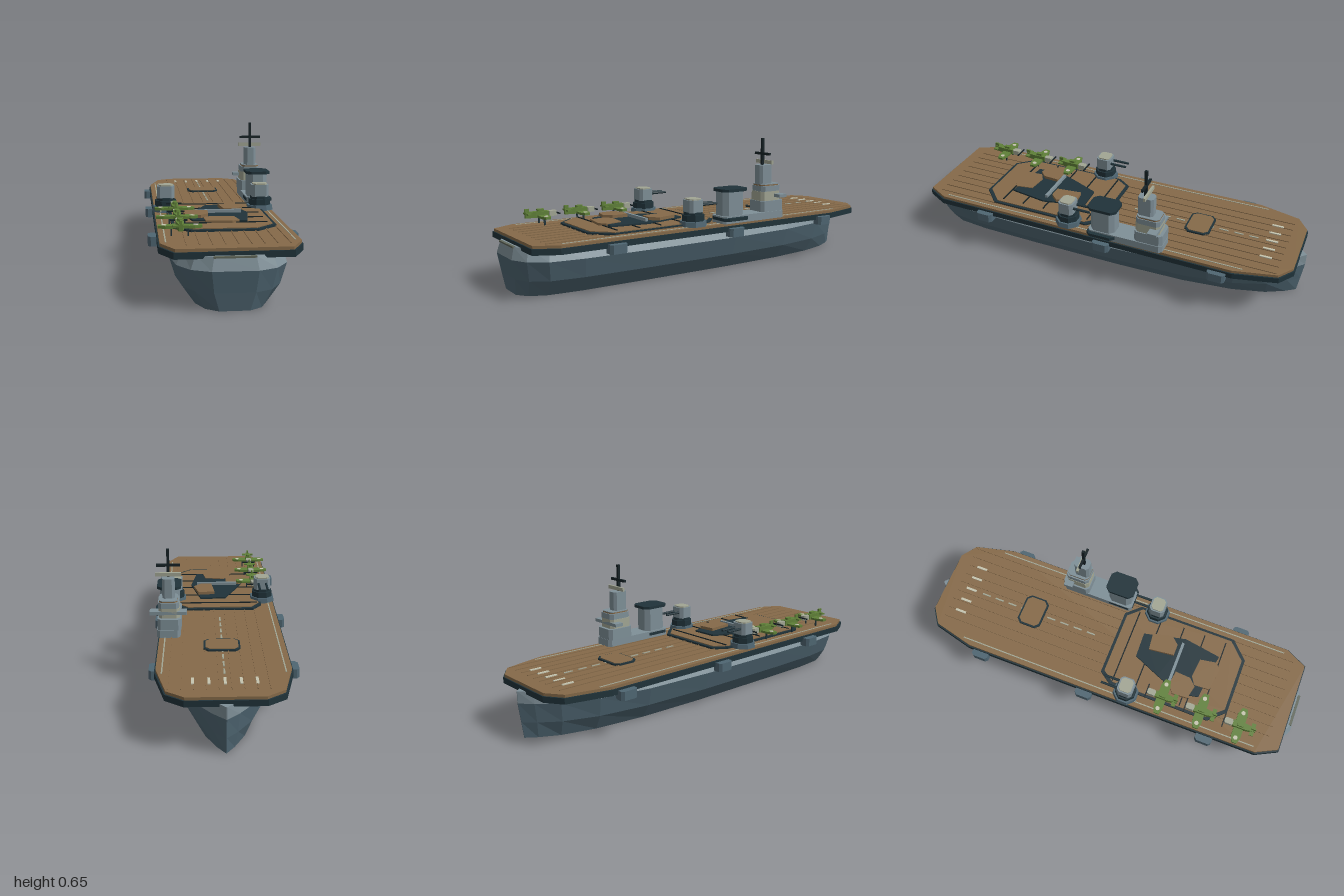
import * as THREE from 'three';

const mat = (name, color, extra = {}) => {
  const m = new THREE.MeshStandardMaterial({ color, flatShading: true, ...extra });
  m.name = name;
  return m;
};

export function createModel() {
  const hullBlue = mat('hull blue grey', 0x4f6672, { side: THREE.DoubleSide });
  const towerGrey = mat('tower grey', 0x7f9098, { side: THREE.DoubleSide });
  const dark = mat('dark steel', 0x20333a);
  const black = mat('mast black', 0x162226);
  const wood = mat('deck wood', 0x866a49);
  const pale = mat('pale paint', 0xa2a694);
  const cream = mat('marking cream', 0xc6c5b0);
  const olive = mat('inner olive grey', 0x61675a);
  const green = mat('aircraft green', 0x5f8038);
  const model = new THREE.Group();
  model.name = 'carrier';

  const add = (parent, name, geo, material, x = 0, y = 0, z = 0) => {
    const m = new THREE.Mesh(geo, material);
    m.name = name;
    m.position.set(x, y, z);
    parent.add(m);
    return m;
  };
  // Box given by its x, y and z ranges
  const box = (parent, name, material, x0, x1, y0, y1, z0, z1) =>
    add(parent, name, new THREE.BoxGeometry(x1 - x0, y1 - y0, z1 - z0), material,
      (x0 + x1) / 2, (y0 + y1) / 2, (z0 + z1) / 2);
  // Upright prism over a plan outline of [x, z] points
  const prism = (parent, name, material, pts, y0, y1) => {
    const shape = new THREE.Shape(pts.map(([x, z]) => new THREE.Vector2(x, -z)));
    const geo = new THREE.ExtrudeGeometry(shape, { depth: y1 - y0, bevelEnabled: false });
    geo.rotateX(-Math.PI / 2);
    return add(parent, name, geo, material, 0, y0, 0);
  };
  // Outline of a rectangle with cut corners
  const cut = (x0, x1, z0, z1, c) => [
    [x0 + c, z0], [x1 - c, z0], [x1, z0 + c], [x1, z1 - c],
    [x1 - c, z1], [x0 + c, z1], [x0, z1 - c], [x0, z0 + c]];
  const block = (parent, name, material, x0, x1, y0, y1, z0, z1, c = 0.015) =>
    prism(parent, name, material, cut(x0, x1, z0, z1, c), y0, y1);

  // Hull: plan stations [z, half width] scaled at each level, open below
  const stations = [[-1, 0.002], [-0.95, 0.055], [-0.86, 0.125], [-0.7, 0.19], [-0.45, 0.235],
    [-0.1, 0.252], [0.4, 0.252], [0.72, 0.245], [0.88, 0.222], [0.96, 0.17], [0.998, 0.092]];
  const levels = [[0, 0.66, 0.975], [0.075, 0.89, 0.985], [0.165, 1, 1], [0.22, 0.89, 0.985]];
  const ring = ([y, sw, sz]) => {
    const side = (s) => stations.map(([z, w]) =>
      [s * w * sw - 0.004, y, z < 0 && y > 0.1 ? z * 0.997 : z * sz]);
    return [...side(1), ...side(-1).reverse()];
  };
  const rings = levels.map(ring);
  const strake = (name, material, lower, upper) => {
    const pos = [];
    for (let l = lower; l < upper; l++) {
      const n = rings[l].length;
      for (let i = 0; i < n; i++) {
        const j = (i + 1) % n;
        const [a, b, c, d] = [rings[l][i], rings[l + 1][i], rings[l + 1][j], rings[l][j]];
        pos.push(...a, ...b, ...c, ...a, ...c, ...d);
      }
    }
    const geo = new THREE.BufferGeometry();
    geo.setAttribute('position', new THREE.Float32BufferAttribute(pos, 3));
    geo.computeVertexNormals();
    add(model, name, geo, material);
  };
  strake('lowerHull', hullBlue, 0, 2);
  strake('upperHullBand', towerGrey, 2, 3);
  const hullTop = rings[3].map(([x, , z]) => [x, z]);
  prism(model, 'hullCap', towerGrey, hullTop, 0.217, 0.22);
  prism(model, 'hullCeiling', olive, hullTop.map(([x, z]) => [x * 0.99, z * 0.994]), 0.2, 0.206);
  box(model, 'sternStrip', olive, -0.088, 0.08, 0.214, 0.221, 0.975, 0.988);

  // Flight deck
  const deck = [[-0.17, -0.97], [0.165, -0.97], [0.243, -0.915], [0.294, -0.71], [0.29, 0.857],
    [0.235, 0.965], [-0.24, 0.965], [-0.296, 0.857], [-0.3, -0.71], [-0.25, -0.915]];
  prism(model, 'deckEdge', dark, deck, 0.208, 0.235);
  prism(model, 'deckPlanking', wood, deck.map(([x, z]) => [x * 0.978, z * 0.994]), 0.235, 0.248);
  for (let i = -4; i <= 4; i++) {
    const x = i * 0.052 + 0.022;
    box(model, 'plankSeam', wood, x - 0.002, x + 0.002, 0.248, 0.2515, -0.9, 0.9);
  }
  // Deck markings
  for (const x of [-0.137, -0.071, -0.004, 0.063, 0.129])
    box(model, 'bowMark', cream, x - 0.006, x + 0.006, 0.248, 0.2525, -0.855, -0.798);
  for (let z = -0.76; z < -0.14; z += 0.075)
    box(model, 'centreDash', pale, -0.008, 0, 0.248, 0.251, z, z + 0.045);
  for (const x of [-0.265, 0.26])
    box(model, 'sideLine', pale, x - 0.003, x + 0.003, 0.248, 0.25, -0.75, 0.84);

  // Forward lift
  block(model, 'liftFrame', dark, -0.086, 0.081, 0.248, 0.256, -0.53, -0.403, 0.022);
  block(model, 'liftTop', wood, -0.077, 0.072, 0.256, 0.259, -0.521, -0.412, 0.019);

  // Raised aft platform
  const pad = [[-0.18, -0.01], [0.165, -0.01], [0.232, 0.06], [0.232, 0.575],
    [0.143, 0.662], [-0.15, 0.662], [-0.226, 0.58], [-0.226, 0.055]];
  prism(model, 'platformFrame', dark, pad, 0.248, 0.257);
  prism(model, 'platformTop', wood, pad.map(([x, z]) => [x * 0.94, 0.326 + (z - 0.326) * 0.955]), 0.257, 0.261);
  for (const z of [0.063, 0.185, 0.31, 0.425, 0.54])
    box(model, 'platformCable', black, -0.205, 0.198, 0.261, 0.265, z - 0.003, z + 0.003);

  // Irregular plates amidships of the platform
  prism(model, 'darkPlate', dark, [[-0.04, 0.13], [0.09, 0.125], [0.14, 0.34], [0.11, 0.53],
    [-0.13, 0.5], [-0.15, 0.4], [-0.1, 0.27]], 0.261, 0.269);
  prism(model, 'woodPlate', wood, [[0.015, 0.18], [0.1, 0.17], [0.125, 0.27], [0.09, 0.31], [0.03, 0.31]], 0.269, 0.284);
  prism(model, 'woodPlate', wood, [[-0.165, 0.37], [-0.12, 0.34], [-0.05, 0.35], [-0.055, 0.43], [-0.09, 0.465], [-0.16, 0.45]], 0.269, 0.284);
  prism(model, 'woodPlate', wood, [[-0.08, 0.46], [-0.04, 0.435], [0.06, 0.445], [0.075, 0.53], [0.04, 0.555], [-0.075, 0.54]], 0.262, 0.273);
  box(model, 'crossBar', towerGrey, -0.11, 0.11, 0.269, 0.284, 0.328, 0.342);

  // Side sponsons
  for (const [x0, x1] of [[-0.332, -0.274], [0.262, 0.32]]) for (const z of [-0.638, -0.057, 0.595])
    block(model, 'sponson', hullBlue, x0, x1, 0.184, 0.226, z - 0.043, z + 0.043, 0.012);

  // Twin gun turrets, trained forward
  for (const x of [-0.236, 0.228]) {
    const turret = new THREE.Group();
    turret.name = 'turret';
    turret.position.set(x, 0, 0.148);
    model.add(turret);
    const drum = (name, r0, r1, y0, y1, m) => {
      const g = new THREE.CylinderGeometry(r1, r0, y1 - y0, 8);
      g.rotateY(Math.PI / 8);
      add(turret, name, g, m, 0, (y0 + y1) / 2, 0);
    };
    drum('turretBase', 0.068, 0.064, 0.248, 0.273, hullBlue);
    drum('turretRing', 0.055, 0.055, 0.273, 0.302, dark);
    drum('turretCollar', 0.047, 0.047, 0.302, 0.316, dark);
    box(turret, 'baseLight', pale, -0.03, -0.024, 0.253, 0.259, 0.06, 0.065);
    block(turret, 'gunHouse', towerGrey, -0.042, 0.042, 0.314, 0.373, -0.038, 0.04, 0.014);
    block(turret, 'gunHouseRoof', pale, -0.035, 0.035, 0.373, 0.379, -0.03, 0.033, 0.012);
    for (const bx of [-0.02, 0.02]) {
      const g = new THREE.CylinderGeometry(0.006, 0.007, 0.095, 8);
      g.rotateX(-Math.PI / 2);
      add(turret, 'gunBarrel', g, dark, bx, 0.347, -0.078);
    }
  }

  // Island: base and funnel
  block(model, 'islandBase', towerGrey, 0.187, 0.298, 0.248, 0.284, -0.368, 0.015);
  block(model, 'funnelFoot', dark, 0.186, 0.318, 0.262, 0.277, -0.13, 0.017, 0.02);
  block(model, 'funnel', towerGrey, 0.196, 0.293, 0.277, 0.402, -0.12, 0.005, 0.022);
  block(model, 'funnelCap', dark, 0.187, 0.306, 0.402, 0.416, -0.132, 0.016, 0.022);
  // Island: bridge tower
  block(model, 'towerLower', towerGrey, 0.182, 0.294, 0.284, 0.338, -0.366, -0.224);
  block(model, 'bridge', pale, 0.19, 0.288, 0.338, 0.385, -0.35, -0.228);
  box(model, 'bridgeWings', towerGrey, 0.157, 0.33, 0.355, 0.371, -0.35, -0.305);
  block(model, 'towerUpper', towerGrey, 0.192, 0.29, 0.385, 0.413, -0.35, -0.23);
  block(model, 'lookoutBand', wood, 0.199, 0.286, 0.413, 0.419, -0.345, -0.232);
  block(model, 'lookoutRoof', towerGrey, 0.199, 0.286, 0.419, 0.422, -0.345, -0.232);
  block(model, 'towerTop', towerGrey, 0.213, 0.271, 0.422, 0.516, -0.31, -0.232, 0.012);
  box(model, 'radar', pale, 0.182, 0.303, 0.522, 0.54, -0.283, -0.272);
  box(model, 'mast', black, 0.236, 0.249, 0.515, 0.65, -0.27, -0.257);
  box(model, 'yardArm', black, 0.187, 0.298, 0.566, 0.578, -0.27, -0.259);

  // Parked aircraft, noses forward
  for (const z of [0.33, 0.535, 0.738]) {
    const plane = new THREE.Group();
    plane.name = 'aircraft';
    plane.position.set(-0.202, 0, z);
    model.add(plane);
    prism(plane, 'wing', green, [[-0.092, -0.012], [-0.06, -0.024], [0.06, -0.024], [0.092, -0.012],
      [0.092, 0.014], [0.06, 0.024], [-0.06, 0.024], [-0.092, 0.014]], 0.286, 0.297);
    prism(plane, 'fuselage', green, [[-0.016, -0.035], [0.016, -0.035], [0.016, 0.03],
      [0.008, 0.08], [-0.008, 0.08], [-0.016, 0.03]], 0.286, 0.314);
    block(plane, 'engine', pale, -0.015, 0.015, 0.287, 0.312, -0.078, -0.035, 0.006);
    box(plane, 'propeller', black, -0.037, 0.037, 0.297, 0.303, -0.084, -0.078);
    block(plane, 'canopy', green, -0.01, 0.01, 0.314, 0.325, -0.015, 0.02, 0.004);
    box(plane, 'tailplane', green, -0.032, 0.032, 0.302, 0.309, 0.056, 0.076);
    box(plane, 'tailFin', green, -0.004, 0.004, 0.31, 0.33, 0.06, 0.082);
    for (const s of [1, -1]) {
      add(plane, 'wingDisc', new THREE.CylinderGeometry(0.011, 0.011, 0.002, 10), cream, s * 0.066, 0.298, 0);
      box(plane, 'wheelLeg', dark, s * 0.035 - 0.003, s * 0.035 + 0.003, 0.25, 0.287, -0.008, 0);
    }
  }
  return model;
}
